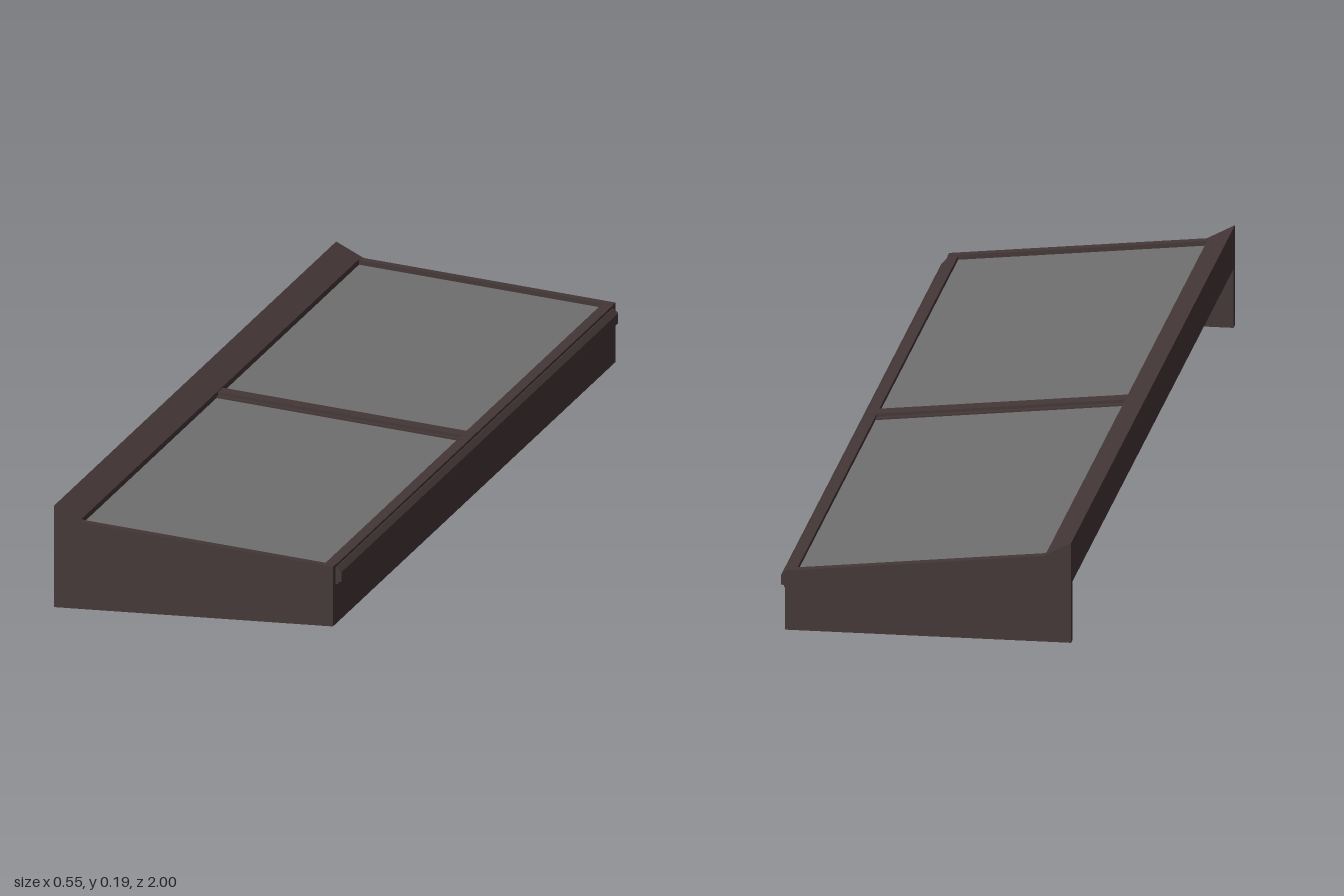
import * as THREE from 'three';

// Extrude an x/y profile along z between z0 and z1
function extrudeZ(name, points, z0, z1, material) {
  const shape = new THREE.Shape(points.map(([x, y]) => new THREE.Vector2(x, y)));
  const geometry = new THREE.ExtrudeGeometry(shape, { depth: z1 - z0, bevelEnabled: false });
  geometry.translate(0, 0, z0);
  const mesh = new THREE.Mesh(geometry, material);
  mesh.name = name;
  return mesh;
}

// Height of the sloping roof line at x
const slope = (x) => 0.167 - ((x + 0.222) * 0.052) / 0.486;

// Sloping slab between two x positions, measured down from the roof line
function slab(x0, x1, top, bottom) {
  return [
    [x0, slope(x0) - bottom],
    [x1, slope(x1) - bottom],
    [x1, slope(x1) - top],
    [x0, slope(x0) - top],
  ];
}

export function createModel() {
  const group = new THREE.Group();
  group.name = 'glazedCanopy';

  const frame = new THREE.MeshStandardMaterial({ color: 0x453737 });
  frame.name = 'dark brown frame';
  const glass = new THREE.MeshStandardMaterial({ color: 0x707070 });
  glass.name = 'grey glass';

  // Full-height end panels
  const endProfile = [[-0.275, 0], [0.264, 0], [0.264, 0.115], [-0.222, 0.167], [-0.275, 0.195]];
  group.add(extrudeZ('frontEndPanel', endProfile, 0.982, 1, frame));
  group.add(extrudeZ('rearEndPanel', endProfile, -1, -0.982, frame));

  // Tall rail with a bevelled top, open underneath
  const railProfile = [[-0.275, 0.115], [-0.226, 0.115], [-0.226, 0.169], [-0.275, 0.195]];
  group.add(extrudeZ('wallRail', railProfile, -0.982, 0.982, frame));

  // Low fascia and its projecting drip moulding
  const fasciaProfile = [[0.244, 0], [0.264, 0], [0.264, 0.114], [0.244, 0.116]];
  group.add(extrudeZ('fascia', fasciaProfile, -0.982, 0.982, frame));
  const mouldingProfile = [
    [0.262, 0.077], [0.269, 0.077], [0.269, 0.081], [0.275, 0.081], [0.275, 0.1], [0.266, 0.109], [0.262, 0.109],
  ];
  group.add(extrudeZ('dripMoulding', mouldingProfile, -0.98, 0.98, frame));

  // Middle glazing bar: a deep rib with a narrower cap
  group.add(extrudeZ('glazingBar', slab(-0.23, 0.262, 0.006, 0.05), -0.027, 0.027, frame));
  group.add(extrudeZ('glazingBarCap', slab(-0.23, 0.264, 0, 0.01), -0.016, 0.016, frame));

  // Two glass panes
  for (const [name, z0, z1] of [['frontPane', 0.026, 0.983], ['rearPane', -0.983, -0.026]]) {
    group.add(extrudeZ(name, slab(-0.23, 0.246, 0.009, 0.016), z0, z1, glass));
  }

  return group;
}
